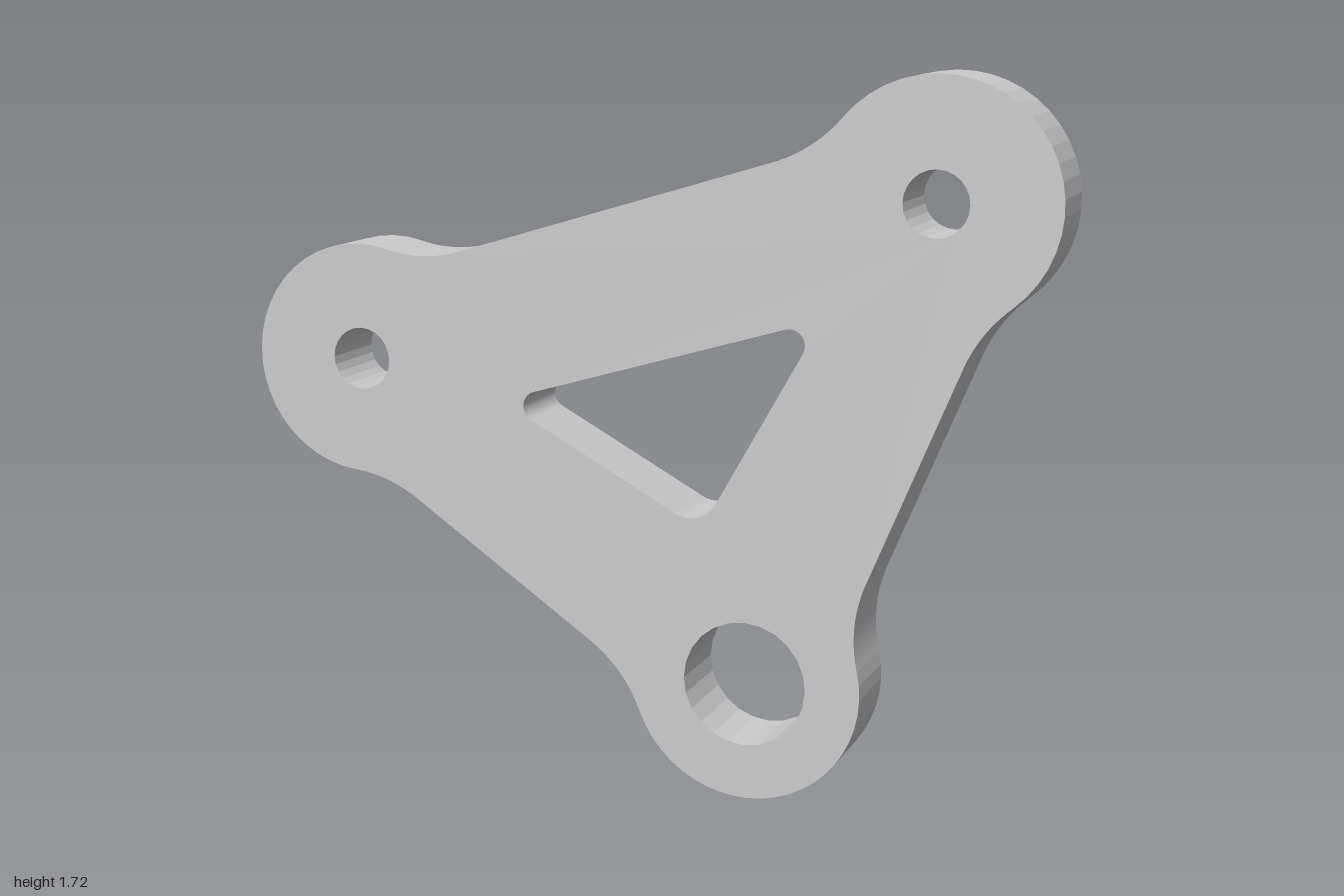
import * as THREE from 'three';

const V = (x, y) => new THREE.Vector2(x, y);
const at = (p, u, a, n, b) => p.clone().addScaledVector(u, a).addScaledVector(n, b);
const angle = (from, to) => Math.atan2(to.y - from.y, to.x - from.x);

const DEPTH = 0.188;
const R = 0.283; // boss radius
const FILLET = 0.35; // concave blend between boss and arm

// Bosses counterclockwise; out / in = arm edge offset when leaving / reaching the boss
const bosses = [
  { c: V(0.717, 1.435), hole: 0.076, out: 0.185, in: 0.203 },
  { c: V(-0.717, 1.0), hole: 0.076, out: 0.202, in: 0.186 },
  { c: V(0.283, 0.283), hole: 0.151, out: 0.167, in: 0.168 },
];

// Outer outline: boss arcs joined by straight edges with concave fillets
function outline() {
  const edges = bosses.map((p, i) => {
    const q = bosses[(i + 1) % 3];
    let u = q.c.clone().sub(p.c).normalize();
    let n = V(u.y, -u.x);
    const start = at(p.c, n, p.out, u, 0);
    const end = at(q.c, n, q.in, u, 0);
    u = end.clone().sub(start).normalize();
    n = V(u.y, -u.x);
    const fillet = (boss, onLine, sign) => {
      const d = onLine.clone().sub(boss.c).dot(n);
      const t = Math.sqrt((R - d) * (R + d + 2 * FILLET));
      return at(boss.c, u, sign * t, n, d + FILLET);
    };
    return { n, f0: fillet(p, start, 1), f1: fillet(q, end, -1) };
  });
  const shape = new THREE.Shape();
  bosses.forEach((p, i) => {
    const prev = edges[(i + 2) % 3], next = edges[i];
    shape.absarc(p.c.x, p.c.y, R, angle(p.c, prev.f1), angle(p.c, next.f0), false);
    const inward = Math.atan2(-next.n.y, -next.n.x);
    const q = bosses[(i + 1) % 3];
    shape.absarc(next.f0.x, next.f0.y, FILLET, angle(next.f0, p.c), inward, true);
    shape.absarc(next.f1.x, next.f1.y, FILLET, inward, angle(next.f1, q.c), true);
  });
  return shape;
}

// Polygon (counterclockwise) with a rounded corner of its own radius at each point
function roundedPolygon(corners) {
  const path = new THREE.Path();
  corners.forEach(({ p, r }, i) => {
    const a = corners[(i + corners.length - 1) % corners.length].p.clone().sub(p).normalize();
    const b = corners[(i + 1) % corners.length].p.clone().sub(p).normalize();
    const half = Math.acos(a.dot(b)) / 2;
    const c = p.clone().addScaledVector(a.clone().add(b).normalize(), r / Math.sin(half));
    const t = r / Math.tan(half);
    path.absarc(c.x, c.y, r, angle(c, at(p, a, t, b, 0)), angle(c, at(p, b, t, a, 0)), false);
  });
  return path;
}

export function createModel() {
  const group = new THREE.Group();
  group.name = 'triangularLinkPlate';

  const shape = outline();

  // Pin holes through the bosses
  for (const { c, hole } of bosses) {
    shape.holes.push(new THREE.Path().absarc(c.x, c.y, hole, 0, Math.PI * 2, true));
  }

  // Central lightening window
  shape.holes.push(roundedPolygon([
    { p: V(0.462, 1.163), r: 0.037 },
    { p: V(-0.341, 0.922), r: 0.037 },
    { p: V(0.173, 0.649), r: 0.075 },
  ]));

  const geometry = new THREE.ExtrudeGeometry(shape, { depth: DEPTH, bevelEnabled: false, curveSegments: 12 });
  geometry.translate(0, 0, -DEPTH / 2);
  const plate = new THREE.Mesh(geometry, new THREE.MeshStandardMaterial({ color: 0xcccccc }));
  plate.name = 'plate';
  group.add(plate);
  return group;
}
